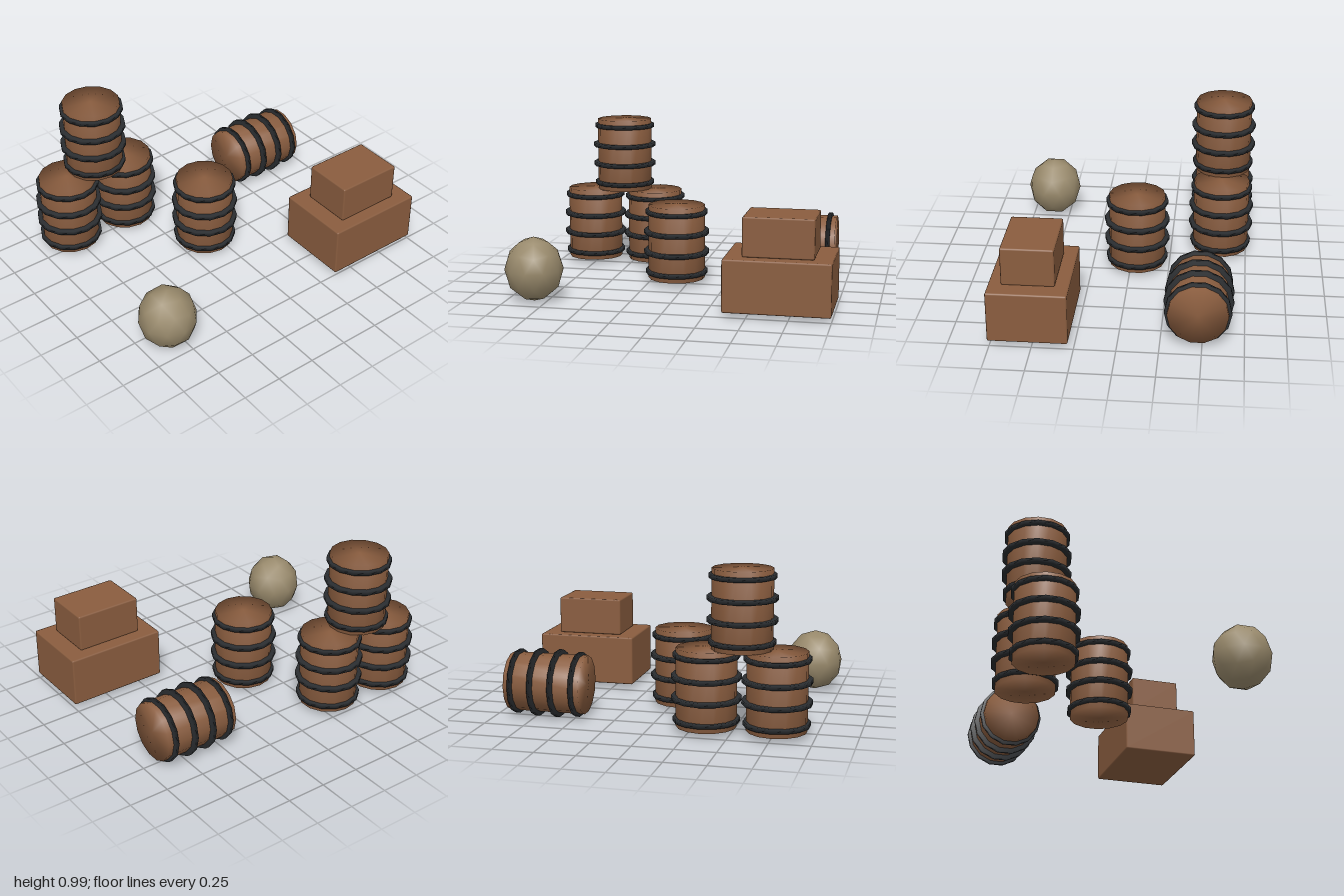
import * as THREE from 'three';
import { mergeVertices } from 'three/addons/utils/BufferGeometryUtils.js';
import { RoundedBoxGeometry } from 'three/addons/geometries/RoundedBoxGeometry.js';

const material = (name, color) => {
  const m = new THREE.MeshStandardMaterial({ color });
  m.name = name;
  return m;
};

// Weld all corners so shading flows softly over every edge
function soften(geometry) {
  geometry.deleteAttribute('normal');
  geometry.deleteAttribute('uv');
  const welded = mergeVertices(geometry, 1e-4);
  welded.computeVertexNormals();
  return welded;
}

export function createModel() {
  const wood = material('brown wood', 0x8a5d3f);
  const iron = material('dark iron', 0x2a2d30);
  const stone = material('tan stone', 0x998a6c);
  const model = new THREE.Group();
  model.name = 'barrelsAndCrates';

  const add = (parent, name, geometry, mat, x, y, z) => {
    const mesh = new THREE.Mesh(geometry, mat);
    mesh.name = name;
    mesh.position.set(x, y, z);
    parent.add(mesh);
    return mesh;
  };

  // Barrels: straight body with four hoops, the middle two wider
  const SIDES = 14;
  const body = soften(new THREE.CylinderGeometry(0.182, 0.182, 0.48, SIDES));
  const endHoop = soften(new THREE.CylinderGeometry(0.2, 0.2, 0.027, SIDES));
  const midHoop = soften(new THREE.CylinderGeometry(0.21, 0.21, 0.027, SIDES));

  function barrel(name, x, y, z) {
    const group = new THREE.Group();
    group.name = name;
    add(group, 'barrelBody', body, wood, 0, 0, 0);
    for (const side of [-1, 1]) {
      add(group, 'endHoop', endHoop, iron, 0, side * 0.195, 0);
      add(group, 'middleHoop', midHoop, iron, 0, side * 0.065, 0);
    }
    group.position.set(x, y, z);
    model.add(group);
    return group;
  }

  barrel('stackBarrelRight', -0.77, 0.275, -0.578);
  barrel('stackBarrelLeft', -0.345, 0.275, -0.578);
  barrel('stackBarrelTop', -0.558, 0.756, -0.578);
  barrel('standingBarrel', -0.078, 0.275, -0.04);
  barrel('lyingBarrel', 0.675, 0.213, -0.472).rotation.z = Math.PI / 2;

  // Crates with slightly eased edges
  add(model, 'largeCrate', new RoundedBoxGeometry(0.642, 0.32, 0.48, 1, 0.01), wood, 0.679, 0.195, 0.524);
  add(model, 'smallCrate', new RoundedBoxGeometry(0.427, 0.24, 0.32, 1, 0.01), wood, 0.678, 0.475, 0.526);

  // Boulder: coarse ball standing on one corner, stretched upward
  const ball = new THREE.IcosahedronGeometry(1, 1);
  ball.rotateX(-Math.atan((1 + Math.sqrt(5)) / 2));
  ball.rotateY(Math.PI / 2);
  ball.scale(0.18, 0.2, 0.18);
  add(model, 'boulder', soften(ball), stone, -0.829, 0.205, 0.604);

  // Rest the lowest point on the ground
  const lowest = new THREE.Box3().setFromObject(model).min.y;
  for (const part of model.children) part.position.y -= lowest;

  return model;
}
